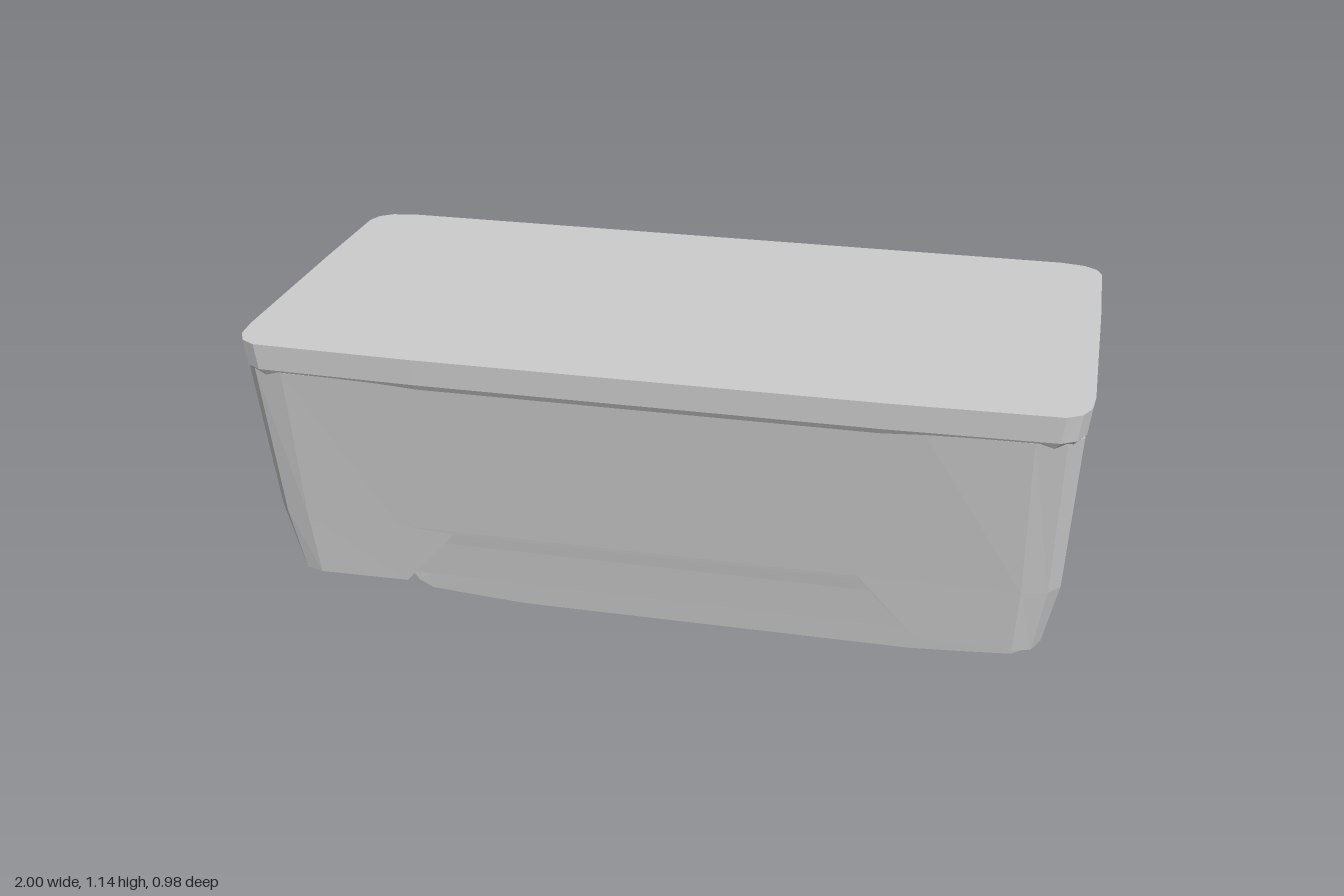
import * as THREE from 'three';

const material = new THREE.MeshStandardMaterial({ color: 0xcccccc, flatShading: true, side: THREE.DoubleSide });

// Skin a row of closed cross-sections (arrays of [x, y, z]) and cap both ends.
function loft(sections, name) {
  const n = sections[0].length, index = [];
  const quad = (a, b, c, d) => index.push(a, b, c, a, c, d);
  for (let i = 0; i < sections.length - 1; i++) {
    for (let j = 0; j < n; j++) {
      const k = (j + 1) % n;
      quad(i * n + j, i * n + k, (i + 1) * n + k, (i + 1) * n + j);
    }
  }
  const last = (sections.length - 1) * n;
  for (let j = 0; j < n / 2 - 1; j++) {
    quad(j, n - 1 - j, n - 2 - j, j + 1);
    quad(last + j, last + j + 1, last + n - 2 - j, last + n - 1 - j);
  }
  const g = new THREE.BufferGeometry();
  g.setAttribute('position', new THREE.Float32BufferAttribute(sections.flat(2), 3));
  g.setIndex(index);
  g.computeVertexNormals();
  const mesh = new THREE.Mesh(g, material);
  mesh.name = name;
  return mesh;
}

// Piecewise linear lookup in a table of [key, value], keys rising.
function lookup(table, t) {
  for (let i = 1; i < table.length; i++) {
    const [a, va] = table[i - 1], [b, vb] = table[i];
    if (t <= b) return va + (vb - va) * Math.max(0, (t - a) / (b - a));
  }
  return table[table.length - 1][1];
}

// Worktop: rounded plan, chamfered under-edge, raised grip along each side.
function makeTop() {
  const half = [
    [0.55, 0.489], [0.94, 0.479], [0.975, 0.458], [0.994, 0.42], [1, 0.36], [1, -0.02],
    [1, -0.13], [0.996, -0.42], [0.982, -0.455], [0.95, -0.478], [0.89, -0.489],
  ];
  const outline = [...half, ...half.map(([x, z]) => [-x, z]).reverse()];
  const grip = (x, z) => Math.abs(x) > 0.99 && z <= 0.36 && z >= -0.02;
  return loft([
    outline.map(([x, z]) => [x * (grip(x, z) ? 0.94 : 0.98), 1.062, z * (z < 0 ? 0.94 : 0.97)]),
    outline.map(([x, z]) => [x * 0.994, grip(x, z) ? 1.093 : 1.08, z * 0.99]),
    outline.map(([x, z]) => [x, 1.145, z]),
  ], 'top');
}

// Front apron, side panels and rear wings: one wrapped shell of even thickness.
function makeShell() {
  // each column: top x z, middle x z, bottom x y z
  const half = [
    [0.5, 0.478, 0.5, 0.41, 0.5, 0.65, 0.408],
    [0.64, 0.478, 0.64, 0.41, 0.64, 0.49, 0.384],
    [0.88, 0.474, 0.88, 0.41, 0.87, 0.487, 0.384],
    [0.95, 0.462, 0.94, 0.395, 0.915, 0.487, 0.37],
    [0.985, 0.42, 0.968, 0.36, 0.935, 0.493, 0.335],
    [0.985, 0.37, 0.968, 0.315, 0.94, 0.498, 0.295],
    [0.968, 0.355, 0.955, 0.3, 0.935, 0.498, 0.28],
    [0.968, -0.12, 0.955, -0.13, 0.935, 0.503, -0.17],
    [0.985, -0.14, 0.97, -0.145, 0.935, 0.503, -0.185],
    [0.985, -0.4, 0.972, -0.29, 0.925, 0.467, -0.265],
    [0.965, -0.455, 0.958, -0.34, 0.915, 0.463, -0.288],
  ];
  const mirror = half.map((c) => c.map((v, i) => ([0, 2, 4].includes(i) ? -v : v)));
  const columns = [...mirror.reverse(), ...half];
  const t = 0.025;
  return loft(columns.map((c, i) => {
    const p = columns[Math.max(0, i - 1)], q = columns[Math.min(columns.length - 1, i + 1)];
    const dx = q[0] - p[0], dz = q[1] - p[1], l = Math.hypot(dx, dz);
    const ox = (dz / l) * t, oz = (-dx / l) * t;
    const outer = [[c[0], 1.075, c[1]], [c[2], 0.66, c[3]], [c[4], c[5], c[6]]];
    const inner = outer.map(([x, y, z]) => [x + ox, y, z + oz]).reverse();
    return [...outer, ...inner];
  }), 'apronAndSides');
}

// Back panel: leans out between the wings and hangs below them as a flap.
function makeBackPanel() {
  const centre = [
    [0.005, -0.352], [0.08, -0.345], [0.2, -0.327], [0.255, -0.316], [0.39, -0.29],
    [0.47, -0.269], [0.6, -0.205], [0.85, -0.152], [1.075, -0.13],
  ];
  const thickness = [[0.005, 0.016], [0.05, 0.026], [0.25, 0.038], [0.3, 0.03], [0.47, 0.03], [1.1, 0.024]];
  const lowEdge = [[0, 0.005], [0.57, 0.005], [0.7, 0.014], [0.86, 0.027], [0.9, 0.052], [0.92, 0.085], [0.93, 0.14]];
  const xs = [...lowEdge.slice(1).map(([x]) => -x).reverse(), ...lowEdge.slice(1).map(([x]) => x)];
  return loft(xs.map((x) => {
    const low = lookup(lowEdge, Math.abs(x));
    const ys = centre.map(([y]) => Math.max(y, low));
    const side = (s) => ys.map((y) => [x, y, lookup(centre, y) + s * lookup(thickness, y) / 2]);
    return [...side(1), ...side(-1).reverse()];
  }), 'backPanel');
}

export function createModel() {
  const model = new THREE.Group();
  model.name = 'counter';
  model.add(makeTop(), makeShell(), makeBackPanel());
  return model;
}
